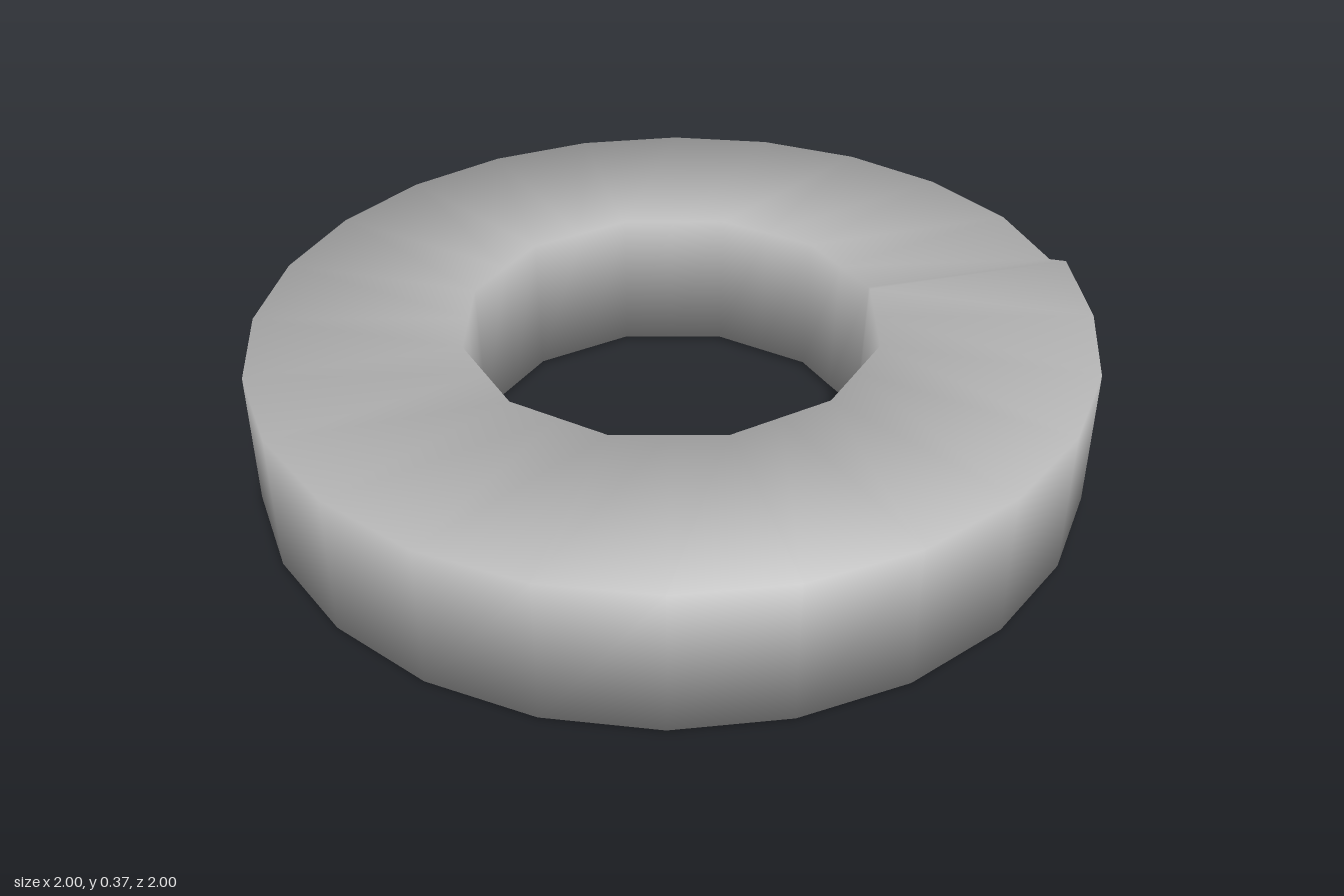
import * as THREE from 'three';

const SIDES = 24;
const OUTER = 1.0;
const INNER = 0.5;
const SEAM = 0.225; // angle of the small step in the rim

// Slightly tilted upper and lower faces
const topY = (x) => 0.358 + 0.012 * x;
const bottomY = (x, z) => 0.023 + 0.014 * x - 0.016 * z;

export function createModel() {
  const group = new THREE.Group();
  group.name = 'ring';
  const grey = new THREE.MeshStandardMaterial({ color: 0xb8b8b8 });
  grey.name = 'plain grey';

  const positions = [];
  const index = [];

  // One four-cornered cross-section: outer bottom, outer top, inner top, inner bottom
  function addSection(angle, outer, inner) {
    const c = Math.cos(angle), s = Math.sin(angle);
    const xo = outer * c, zo = outer * s;
    const xi = inner * c, zi = inner * s;
    positions.push(
      xo, bottomY(xo, zo), zo,
      xo, topY(xo), zo,
      xi, topY(xi), zi,
      xi * 0.98, 0.4 * bottomY(xi, zi), zi * 0.98,
    );
  }

  // The hole has half as many corners as the rim, so odd sections sit on its chords
  const chord = INNER * Math.cos((2 * Math.PI) / SIDES);
  for (let i = 0; i < SIDES; i++) {
    const angle = SEAM + (i / SIDES) * Math.PI * 2;
    addSection(angle, i === 0 ? 1.02 : OUTER, i % 2 ? chord : INNER);
  }
  // Closing section just before the seam, set back to leave the step
  addSection(SEAM + Math.PI * 2 - 0.02, 0.985, INNER);

  const count = SIDES + 1;
  for (let i = 0; i < count; i++) {
    const here = i * 4, next = ((i + 1) % count) * 4;
    for (let j = 0; j < 4; j++) {
      const k = (j + 1) % 4;
      index.push(here + j, here + k, next + j, here + k, next + k, next + j);
    }
  }

  // Shared corners give the soft shading across the edges
  const geometry = new THREE.BufferGeometry();
  geometry.setAttribute('position', new THREE.Float32BufferAttribute(positions, 3));
  geometry.setIndex(index);
  geometry.computeVertexNormals();

  const body = new THREE.Mesh(geometry, grey);
  body.name = 'ringBody';
  group.add(body);
  return group;
}
